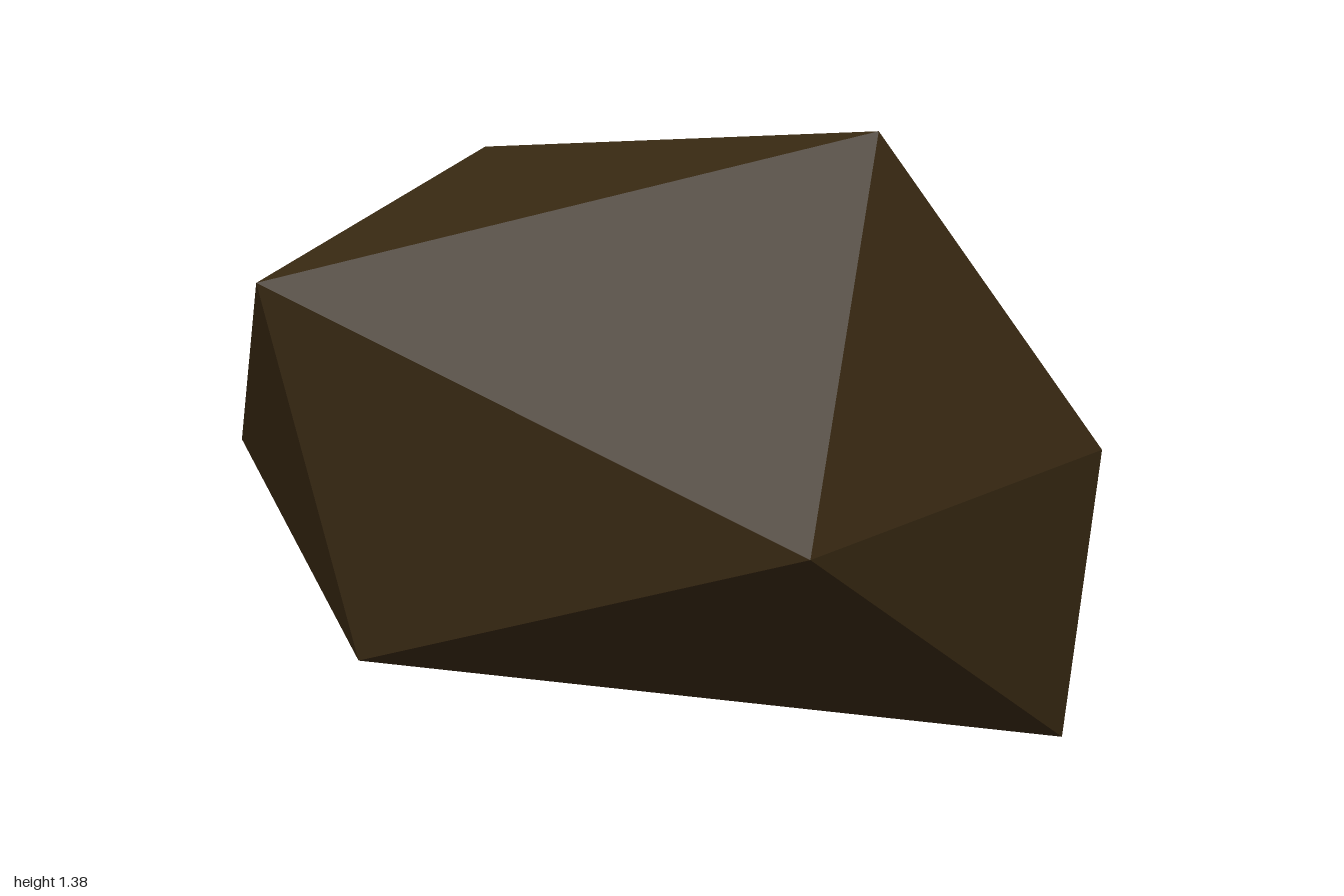
import * as THREE from 'three';

// Faceted boulder: two staggered five-sided rings, capped at front and back
export function createModel() {
  const group = new THREE.Group();
  group.name = 'boulder';
  const darkBrown = new THREE.MeshStandardMaterial({ color: 0x362711 });
  darkBrown.name = 'darkBrown';

  // Rings run clockwise as seen from the front
  const frontTip = [0, 0.57, 0.915];
  const backTip = [-0.07, 0.61, -0.915];
  const frontRing = [[-0.98, 1.07, 0.29], [0.36, 1.38, 0.29], [0.9, 0.66, 0.33], [0.8, 0, 0.37], [-0.8, 0.29, 0.37]];
  const backRing = [[-0.41, 1.35, -0.33], [0.815, 1.065, -0.33], [1, 0.26, -0.345], [-0.08, 0.14, -0.415], [-1, 0.66, -0.35]];

  const corners = [];
  const face = (a, b, c) => corners.push(...a, ...b, ...c);
  for (let i = 0; i < 5; i++) {
    const j = (i + 1) % 5;
    face(frontTip, frontRing[j], frontRing[i]);
    face(frontRing[i], frontRing[j], backRing[i]);
    face(backRing[i], frontRing[j], backRing[j]);
    face(backTip, backRing[i], backRing[j]);
  }

  // Unshared corners give flat facets
  const geometry = new THREE.BufferGeometry();
  geometry.setAttribute('position', new THREE.Float32BufferAttribute(corners, 3));
  geometry.computeVertexNormals();
  const rock = new THREE.Mesh(geometry, darkBrown);
  rock.name = 'rock';
  group.add(rock);
  return group;
}
